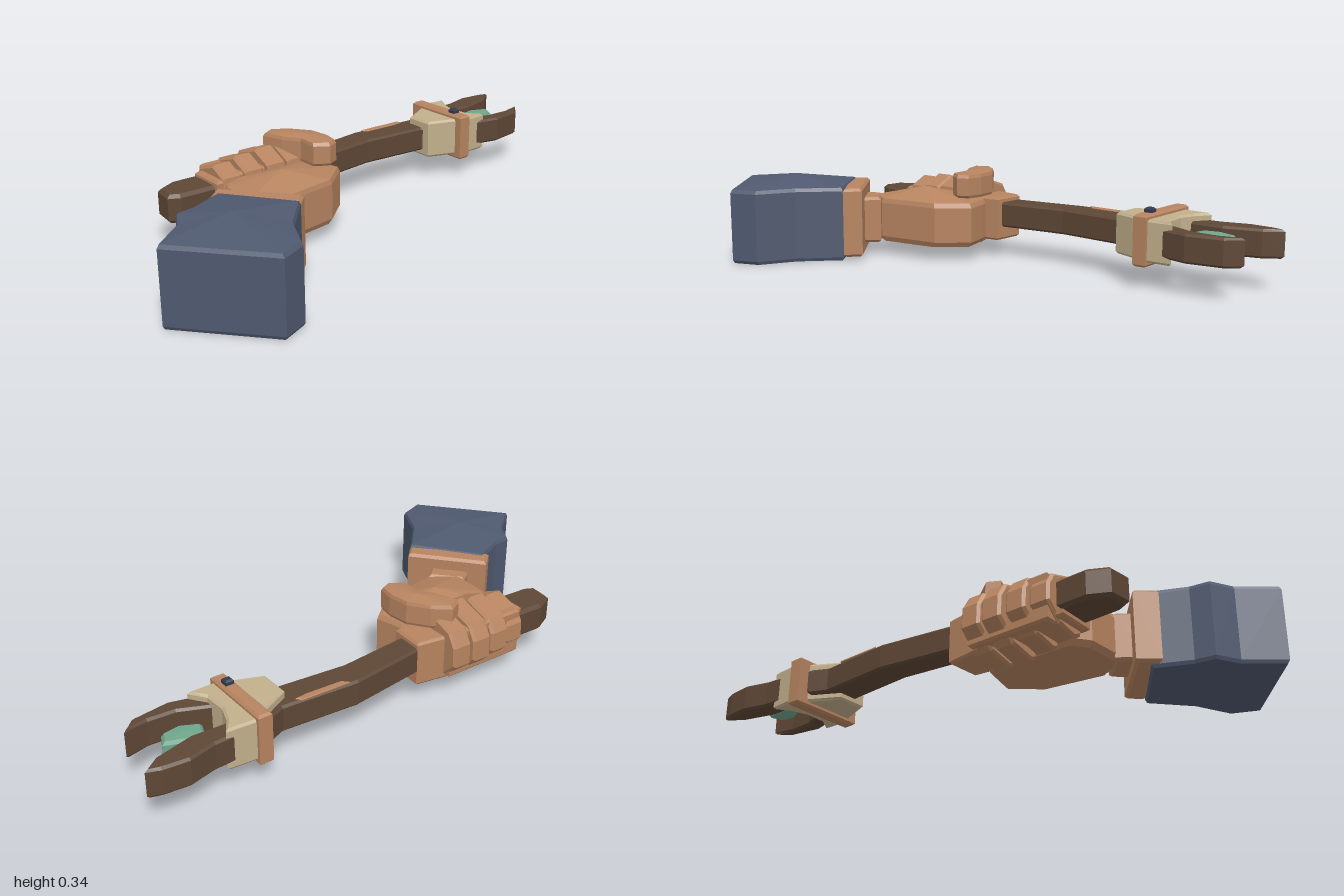
import * as THREE from 'three';

const paint = (name, color) => {
  const m = new THREE.MeshStandardMaterial({ color });
  m.name = name;
  return m;
};

// Bevelled extrusion of a 2D outline, running from 0 to depth along z
function bevelled(points, depth, bevel) {
  const shape = new THREE.Shape(points.map(([x, y]) => new THREE.Vector2(x, y)));
  const geo = new THREE.ExtrudeGeometry(shape, {
    depth: depth - 2 * bevel, bevelEnabled: true, bevelSegments: 1,
    bevelSize: bevel, bevelOffset: -bevel, bevelThickness: bevel,
  });
  return geo.translate(0, 0, bevel);
}

// Plan outline [x, z] raised from y0 to y1
function slab(plan, y0, y1, bevel = 0.008) {
  return bevelled(plan.map(([x, z]) => [x, -z]), y1 - y0, bevel)
    .rotateX(-Math.PI / 2).translate(0, y0, 0);
}

// Plan outline lofted through [y, scale] rings about a centre, closed by a low and a high point
function faceted(plan, [cx, cz], rings, low, high) {
  const flat = plan.map(([x, z]) => new THREE.Vector2(x, -z));
  const outline = THREE.ShapeUtils.area(flat) < 0 ? [...plan].reverse() : plan;
  const n = outline.length, pos = [];
  const at = ([y, s], i) => {
    const [x, z] = outline[i % n];
    return [cx + (x - cx) * s, y, cz + (z - cz) * s];
  };
  const tri = (a, b, c) => pos.push(...a, ...b, ...c);
  for (let i = 0; i < n; i++) {
    for (let r = 0; r < rings.length - 1; r++) {
      const a = at(rings[r], i), b = at(rings[r], i + 1);
      const c = at(rings[r + 1], i + 1), d = at(rings[r + 1], i);
      tri(a, b, c);
      tri(a, c, d);
    }
    const top = rings[rings.length - 1];
    tri(at(top, i), at(top, i + 1), [cx, high, cz]);
    tri(at(rings[0], i + 1), at(rings[0], i), [cx, low, cz]);
  }
  const geo = new THREE.BufferGeometry();
  geo.setAttribute('position', new THREE.Float32BufferAttribute(pos, 3));
  geo.computeVertexNormals();
  return geo;
}

const rect = (x0, x1, z0, z1) => [[x0, z0], [x1, z0], [x1, z1], [x0, z1]];

export function createModel() {
  const group = new THREE.Group();
  group.name = 'handWithWand';
  const skin = paint('skin', 0xb78460);
  const cloth = paint('sleeve cloth', 0x505a70);
  const wood = paint('dark wood', 0x5e4736);
  const bone = paint('pale bone', 0xc2b08c);
  const jade = paint('jade crystal', 0x6fa68c);
  const iron = paint('dark stud', 0x323a4c);
  const add = (name, geo, mat) => {
    const mesh = new THREE.Mesh(geo, mat);
    mesh.name = name;
    group.add(mesh);
  };

  // Sleeve with a low peaked top, cuff and wrist
  add('sleeve', faceted([
    [0.17, 0.47], [0.30, 0.59], [0.435, 0.655], [0.473, 0.75], [0.18, 0.995],
    [0.085, 0.875], [0.005, 0.83], [-0.005, 0.76], [-0.06, 0.635],
  ], [0.17, 0.73], [[0, 0.97], [0.012, 1], [0.265, 1], [0.278, 0.97]], 0, 0.31), cloth);
  add('cuff', slab([[0.12, 0.42], [0.17, 0.47], [-0.055, 0.675], [-0.11, 0.61]], 0.012, 0.273, 0.01), skin);
  add('wrist', slab([[0.01, 0.43], [0.09, 0.52], [-0.02, 0.62], [-0.09, 0.52]], 0.05, 0.225, 0.01), skin);

  // Palm
  add('palm', faceted([
    [-0.12, 0.085], [-0.03, 0.19], [0.005, 0.43], [-0.05, 0.525],
    [-0.21, 0.515], [-0.27, 0.47], [-0.27, 0.13], [-0.22, 0.11],
  ], [-0.135, 0.33], [[0.055, 0.92], [0.075, 1], [0.205, 1], [0.222, 0.96]], 0.055, 0.265), skin);

  // Four fingers wrapped around the shaft
  const wrap = [
    [-0.415, 0.257], [-0.30, 0.295], [-0.215, 0.255], [-0.20, 0.14], [-0.235, 0.06],
    [-0.28, 0.037], [-0.375, 0.057], [-0.45, 0.13], [-0.447, 0.205],
  ];
  [[0.165, 0.98], [0.252, 1], [0.342, 0.93], [0.425, 0.82]].forEach(([z, s], i) => {
    const outline = wrap.map(([x, y]) => [-0.325 + (x + 0.325) * s, 0.165 + (y - 0.165) * s]).reverse();
    add('finger' + (i + 1), bevelled(outline, 0.077, 0.009).translate(0, 0, z), skin);
  });
  add('fingerCore', slab(rect(-0.415, -0.24, 0.17, 0.49), 0.075, 0.245), skin);

  // Thumb folded across the top
  add('thumb', faceted([
    [-0.375, 0.21], [-0.33, 0.15], [-0.26, 0.10], [-0.18, 0.09], [-0.12, 0.10],
    [-0.102, 0.14], [-0.135, 0.19], [-0.21, 0.19], [-0.27, 0.23], [-0.35, 0.257],
  ], [-0.235, 0.155], [[0.24, 0.93], [0.25, 1], [0.315, 1], [0.327, 0.94]], 0.24, 0.336), skin);

  // Collars either side of the grip
  add('frontCollar', slab(rect(-0.385, -0.24, 0.49, 0.527), 0.09, 0.232), skin);
  add('backCollar', slab([[-0.375, 0.058], [-0.25, 0.065], [-0.235, 0.19], [-0.395, 0.19]], 0.065, 0.23), skin);

  // Bent wooden shaft and pommel
  add('shaft', slab([
    [-0.39, 0.5], [-0.375, 0.06], [-0.417, -0.22], [-0.40, -0.50], [-0.43, -0.57],
    [-0.23, -0.57], [-0.285, -0.46], [-0.305, -0.20], [-0.275, 0.06], [-0.26, 0.5],
  ], 0.115, 0.21), wood);
  add('shaftPatch', slab([[-0.406, -0.43], [-0.388, -0.445], [-0.383, -0.40], [-0.388, -0.27], [-0.41, -0.25]],
    0.207, 0.214, 0.002), skin);
  add('pommel', slab([
    [-0.395, 0.51], [-0.397, 0.62], [-0.362, 0.69], [-0.28, 0.70], [-0.26, 0.66], [-0.255, 0.51],
  ], 0.11, 0.215, 0.012), wood);

  // Bone head, its band and stud
  add('lowerSocket', slab([[-0.425, -0.59], [-0.36, -0.467], [-0.25, -0.467], [-0.205, -0.59]], 0.092, 0.24), bone);
  add('upperSocket', slab([
    [-0.455, -0.60], [-0.445, -0.73], [-0.39, -0.695], [-0.33, -0.675],
    [-0.25, -0.68], [-0.195, -0.72], [-0.19, -0.60],
  ], 0.092, 0.24), bone);
  add('headBand', slab(rect(-0.464, -0.18, -0.628, -0.578), 0.075, 0.256), skin);
  add('stud', slab(rect(-0.261, -0.231, -0.618, -0.588), 0.25, 0.273, 0.006), iron);

  // Forked prongs holding the crystal
  add('rightProng', slab([
    [-0.45, -1.0], [-0.405, -0.94], [-0.37, -0.81], [-0.375, -0.66],
    [-0.445, -0.66], [-0.45, -0.77], [-0.475, -0.865], [-0.467, -0.955],
  ], 0.115, 0.215), wood);
  add('leftProng', slab([
    [-0.24, -0.96], [-0.19, -0.91], [-0.17, -0.78], [-0.20, -0.66],
    [-0.28, -0.66], [-0.23, -0.78], [-0.225, -0.875],
  ], 0.115, 0.215), wood);
  add('crystal', faceted([
    [-0.335, -0.885], [-0.29, -0.865], [-0.28, -0.80], [-0.31, -0.735], [-0.352, -0.75], [-0.365, -0.81],
  ], [-0.322, -0.81], [[0.133, 0.85], [0.145, 1], [0.185, 1], [0.197, 0.85]], 0.13, 0.20), jade);

  return group;
}
